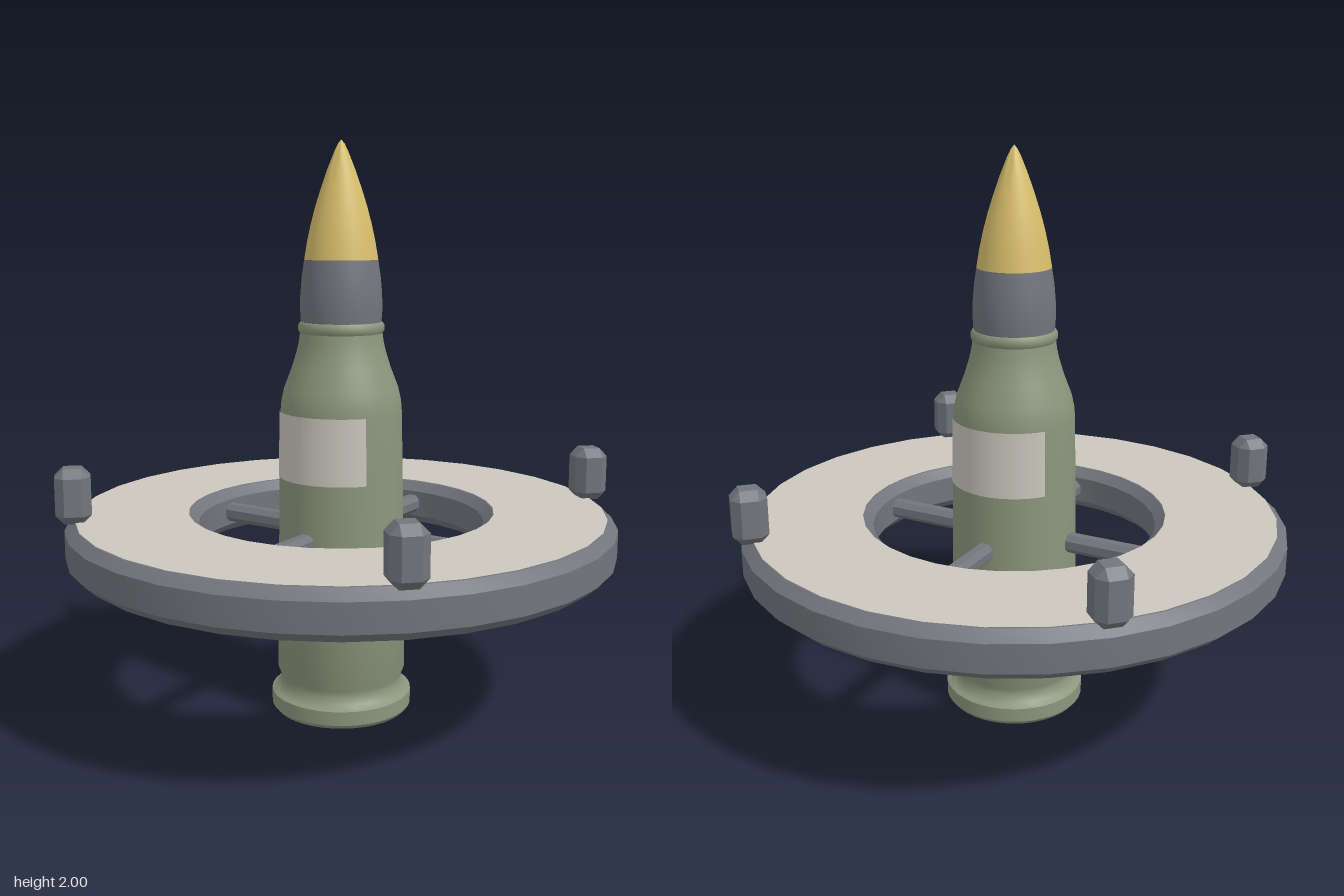
import * as THREE from 'three';
import { toCreasedNormals } from 'three/addons/utils/BufferGeometryUtils.js';
import { ConvexGeometry } from 'three/addons/geometries/ConvexGeometry.js';

const mat = (name, color) => {
  const m = new THREE.MeshStandardMaterial({ color });
  m.name = name;
  return m;
};

// Turned part from [radius, height] pairs, hard edges kept
function turned(points, segments) {
  const pts = points.map(([r, y]) => new THREE.Vector2(r, y));
  return toCreasedNormals(new THREE.LatheGeometry(pts, segments), 0.65);
}

// Box with every edge and corner cut by c
function chamferBox(w, h, d, c) {
  const pts = [];
  for (const sx of [-1, 1]) for (const sy of [-1, 1]) for (const sz of [-1, 1]) {
    const x = w / 2, y = h / 2, z = d / 2;
    pts.push(
      new THREE.Vector3(sx * x, sy * (y - c), sz * (z - c)),
      new THREE.Vector3(sx * (x - c), sy * y, sz * (z - c)),
      new THREE.Vector3(sx * (x - c), sy * (y - c), sz * z)
    );
  }
  return new ConvexGeometry(pts);
}

export function createModel() {
  const model = new THREE.Group();
  model.name = 'ringedRound';
  const green = mat('olive green', 0x8b967c);
  const grey = mat('steel grey', 0x73757c);
  const gold = mat('brass gold', 0xd8be6c);
  const cream = mat('cream', 0xcbc7be);

  const add = (name, geometry, material, parent = model) => {
    const mesh = new THREE.Mesh(geometry, material);
    mesh.name = name;
    parent.add(mesh);
    return mesh;
  };

  // Case with base rim, groove, shoulder and neck bead
  add('case', turned([
    [0, 0], [0.238, 0], [0.25, 0.015], [0.25, 0.065], [0.238, 0.072],
    [0.228, 0.08], [0.217, 0.105], [0.217, 0.125], [0.228, 0.15],
    [0.222, 0.56], [0.217, 0.85], [0.212, 1.08], [0.209, 1.115], [0.199, 1.16],
    [0.172, 1.23], [0.155, 1.285], [0.147, 1.32], [0.143, 1.35],
    [0.149, 1.36], [0.149, 1.378], [0.142, 1.388], [0.13, 1.39]
  ], 40), green);

  // Lower nose band and tip
  add('noseBand', turned([
    [0.139, 1.385], [0.142, 1.43], [0.141, 1.48], [0.136, 1.54], [0.127, 1.6]
  ], 40), grey);
  add('noseTip', turned([
    [0.127, 1.6], [0.117, 1.66], [0.104, 1.72], [0.088, 1.78], [0.069, 1.84],
    [0.048, 1.9], [0.024, 1.96], [0.012, 1.985], [0, 2]
  ], 40), gold);

  // Curved labels on front and back
  const halfAngle = 0.98;
  for (const [name, centre] of [['frontLabel', 0], ['backLabel', Math.PI]]) {
    const label = new THREE.CylinderGeometry(
      0.216, 0.22, 0.23, 14, 1, true, centre - halfAngle, halfAngle * 2);
    add(name, label, cream).position.y = 0.965;
  }

  // Bevelled ring with a pale top plate
  add('ring', turned([
    [0.535, 0.565], [0.925, 0.565], [0.96, 0.597], [0.96, 0.693], [0.925, 0.725],
    [0.535, 0.725], [0.502, 0.693], [0.502, 0.597], [0.535, 0.565]
  ], 32), grey);
  const plate = new THREE.RingGeometry(0.537, 0.924, 32);
  plate.rotateX(-Math.PI / 2);
  add('ringTopPlate', plate, cream).position.y = 0.728;

  // Four spokes and four posts between them
  const spoke = chamferBox(0.34, 0.065, 0.065, 0.018);
  spoke.translate(0.36, 0.645, 0);
  const post = chamferBox(0.12, 0.19, 0.12, 0.03);
  post.translate(0.926, 0.817, 0);
  for (let i = 0; i < 4; i++) {
    add('spoke', spoke, grey).rotation.y = i * Math.PI / 2;
    add('post', post, grey).rotation.y = (i + 0.5) * Math.PI / 2;
  }
  return model;
}
